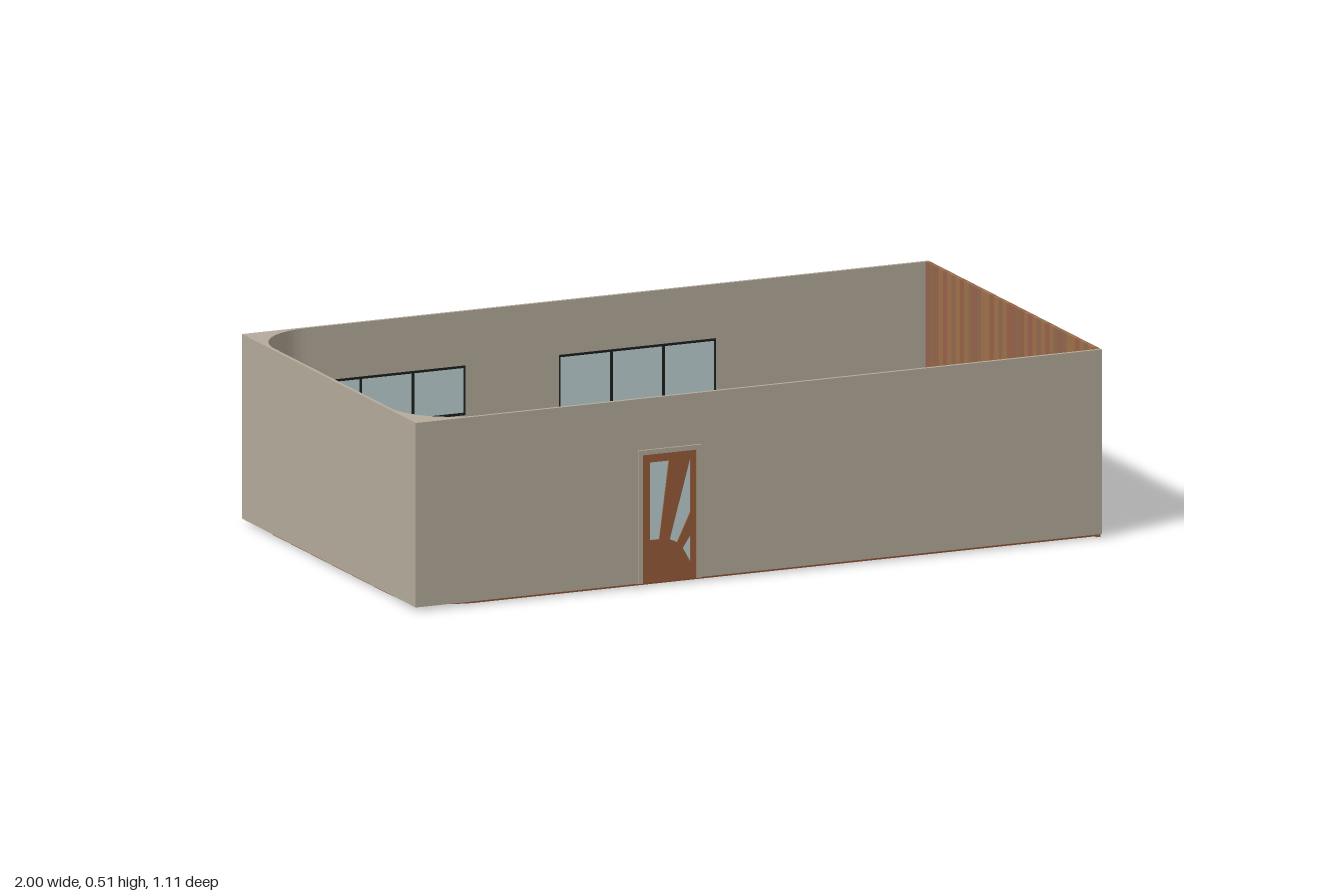
import * as THREE from 'three';
import { toCreasedNormals } from 'three/addons/utils/BufferGeometryUtils.js';

const mat = (color) => new THREE.MeshStandardMaterial({ color });
const wallMat = mat(0xb5ab9b), floorMat = mat(0x8f5237), doorMat = mat(0x9a5c3a);
const glassMat = mat(0xbdd2d4), frameMat = mat(0x1c1e1e);
const plankMats = [0xa0704c, 0x8f6b4b, 0x98614e, 0x956344].map(mat);

// Room extents: outer faces, inner faces, heights
const FRONT = 0.552, BACK = -0.555, T = 0.01;
const IN_FRONT = FRONT - T, IN_BACK = BACK + T, IN_LEFT = -0.99;
const BASE = 0.01, TOP = 0.513, R = 0.175;
const CURVE_X = IN_LEFT + R;

function add(group, name, geometry, material) {
  const mesh = new THREE.Mesh(geometry, material);
  mesh.name = name;
  group.add(mesh);
  return mesh;
}

function box(group, name, material, x0, x1, y0, y1, z0, z1) {
  const mesh = add(group, name, new THREE.BoxGeometry(x1 - x0, y1 - y0, z1 - z0), material);
  mesh.position.set((x0 + x1) / 2, (y0 + y1) / 2, (z0 + z1) / 2);
}

const polygon = (pts, Kind = THREE.Shape) => new Kind(pts.map(([x, y]) => new THREE.Vector2(x, y)));
const rect = (x0, x1, y0, y1, Kind) => polygon([[x0, y0], [x1, y0], [x1, y1], [x0, y1]], Kind);

// Upright sheet: an x-y shape given a thickness from z0 to z1
function sheet(shape, z0, z1) {
  return new THREE.ExtrudeGeometry(shape, { depth: z1 - z0, bevelEnabled: false }).translate(0, 0, z0);
}

// Plan shape (x, -z) raised from y0 to y1
function raise(shape, y0, y1) {
  const g = new THREE.ExtrudeGeometry(shape, { depth: y1 - y0, bevelEnabled: false, curveSegments: 20 });
  return toCreasedNormals(g.rotateX(-Math.PI / 2).translate(0, y0, 0), 0.6);
}

// Trace the rounded left end from the back wall round to the front, inset by d
function traceEnd(shape, d = 0) {
  const r = R - d;
  shape.absarc(CURVE_X, -IN_BACK - R, r, Math.PI / 2, Math.PI, false);
  shape.absarc(CURVE_X, -IN_FRONT + R, r, Math.PI, Math.PI * 1.5, false);
  return shape;
}

// Window with outer frame, equal panes and mullions
function glazing(name, x0, x1, y0, y1, panes) {
  const g = new THREE.Group();
  g.name = name;
  const b = 0.006, step = (x1 - x0) / panes;
  const frame = rect(x0, x1, y0, y1);
  for (let i = 0; i < panes; i++) {
    const a = x0 + i * step + b / 2, c = x0 + (i + 1) * step - b / 2;
    frame.holes.push(rect(a, c, y0 + b, y1 - b, THREE.Path));
    box(g, 'pane', glassMat, a, c, y0 + b, y1 - b, BACK + 0.002, IN_BACK - 0.002);
  }
  add(g, 'windowFrame', sheet(frame, BACK - 0.0005, IN_BACK + 0.003), frameMat);
  return g;
}

// Door leaf with three slanted lights and a casing on both wall faces
function frontDoor(x0, x1, top) {
  const g = new THREE.Group();
  g.name = 'frontDoor';
  const lights = [
    [[-0.318, 0.125], [-0.29, 0.125], [-0.262, 0.337], [-0.318, 0.337]],
    [[-0.26, 0.122], [-0.238, 0.112], [-0.2, 0.19], [-0.2, 0.34]],
    [[-0.222, 0.095], [-0.2, 0.055], [-0.2, 0.128]],
  ];
  const leaf = rect(x0, x1, BASE, top);
  for (const pts of lights) {
    leaf.holes.push(polygon(pts, THREE.Path));
    add(g, 'doorGlass', sheet(polygon(pts), 0.545, 0.549), glassMat);
  }
  add(g, 'doorLeaf', sheet(leaf, 0.541, 0.553), doorMat);
  const w = 0.013;
  const casing = polygon([
    [x0 - w, BASE], [x0, BASE], [x0, top], [x1, top],
    [x1, BASE], [x1 + w, BASE], [x1 + w, top + w], [x0 - w, top + w],
  ]);
  add(g, 'doorCasing', sheet(casing, 0.532, 0.558), wallMat);
  return g;
}

export function createModel() {
  const model = new THREE.Group();
  const door = { x0: -0.34, x1: -0.183, top: 0.36 };
  const slider = [-0.08, 0.375, 0.014, 0.366];
  const strip = [-0.81, -0.355, 0.23, 0.365];

  // Floor with two rounded corners
  const floor = new THREE.Shape();
  floor.moveTo(0.99, -IN_FRONT);
  floor.lineTo(0.99, -IN_BACK);
  traceEnd(floor);
  add(model, 'floor', raise(floor, 0.003, BASE), floorMat);

  // Left wall: square outside, rounded inside
  const end = new THREE.Shape();
  end.moveTo(CURVE_X, -BACK);
  end.lineTo(CURVE_X, -IN_BACK);
  traceEnd(end);
  end.lineTo(CURVE_X, -FRONT);
  end.lineTo(-1, -FRONT);
  end.lineTo(-1, -BACK);
  add(model, 'leftWall', raise(end, BASE, TOP), wallMat);

  // Front wall, notched for the door
  const front = polygon([
    [CURVE_X, BASE], [door.x0, BASE], [door.x0, door.top], [door.x1, door.top],
    [door.x1, BASE], [1, BASE], [1, TOP], [CURVE_X, TOP],
  ]);
  add(model, 'frontWall', sheet(front, IN_FRONT, FRONT), wallMat);
  model.add(frontDoor(door.x0, door.x1, door.top));

  // Back wall with window openings
  const back = rect(CURVE_X, 1, BASE, TOP);
  for (const o of [slider, strip]) back.holes.push(rect(...o, THREE.Path));
  add(model, 'backWall', sheet(back, BACK, IN_BACK), wallMat);
  model.add(glazing('slidingDoor', ...slider, 3), glazing('stripWindow', ...strip, 3));

  // Right wall of upright planks; the tone pattern repeats twice
  const planks = new THREE.Group();
  planks.name = 'plankWall';
  const tones = [3, 0, 1, 0, 3, 0, 0, 1, 2, 1, 0, 3, 0, 1, 0, 2, 0, 3, 1, 2];
  const count = tones.length * 2, step = (IN_FRONT - IN_BACK) / count;
  for (let i = 0; i < count; i++) {
    const z = IN_FRONT - i * step;
    box(planks, 'plank', plankMats[tones[i % tones.length]], 0.988, 1, 0, TOP, z - step, z);
  }
  model.add(planks);

  // Skirting board, broken at the doors
  const d = 0.006, skirtTop = 0.05;
  const bend = traceEnd(new THREE.Shape());
  bend.absarc(CURVE_X, -IN_FRONT + R, R - d, Math.PI * 1.5, Math.PI, true);
  bend.absarc(CURVE_X, -IN_BACK - R, R - d, Math.PI, Math.PI / 2, true);
  add(model, 'skirtingBend', raise(bend, BASE, skirtTop), wallMat);
  for (const [a, b] of [[CURVE_X, door.x0 - 0.013], [door.x1 + 0.013, 0.988]])
    box(model, 'frontSkirting', wallMat, a, b, BASE, skirtTop, IN_FRONT - d, IN_FRONT);
  for (const [a, b] of [[CURVE_X, slider[0]], [slider[1], 0.988]])
    box(model, 'backSkirting', wallMat, a, b, BASE, skirtTop, IN_BACK, IN_BACK + d);

  return model;
}
